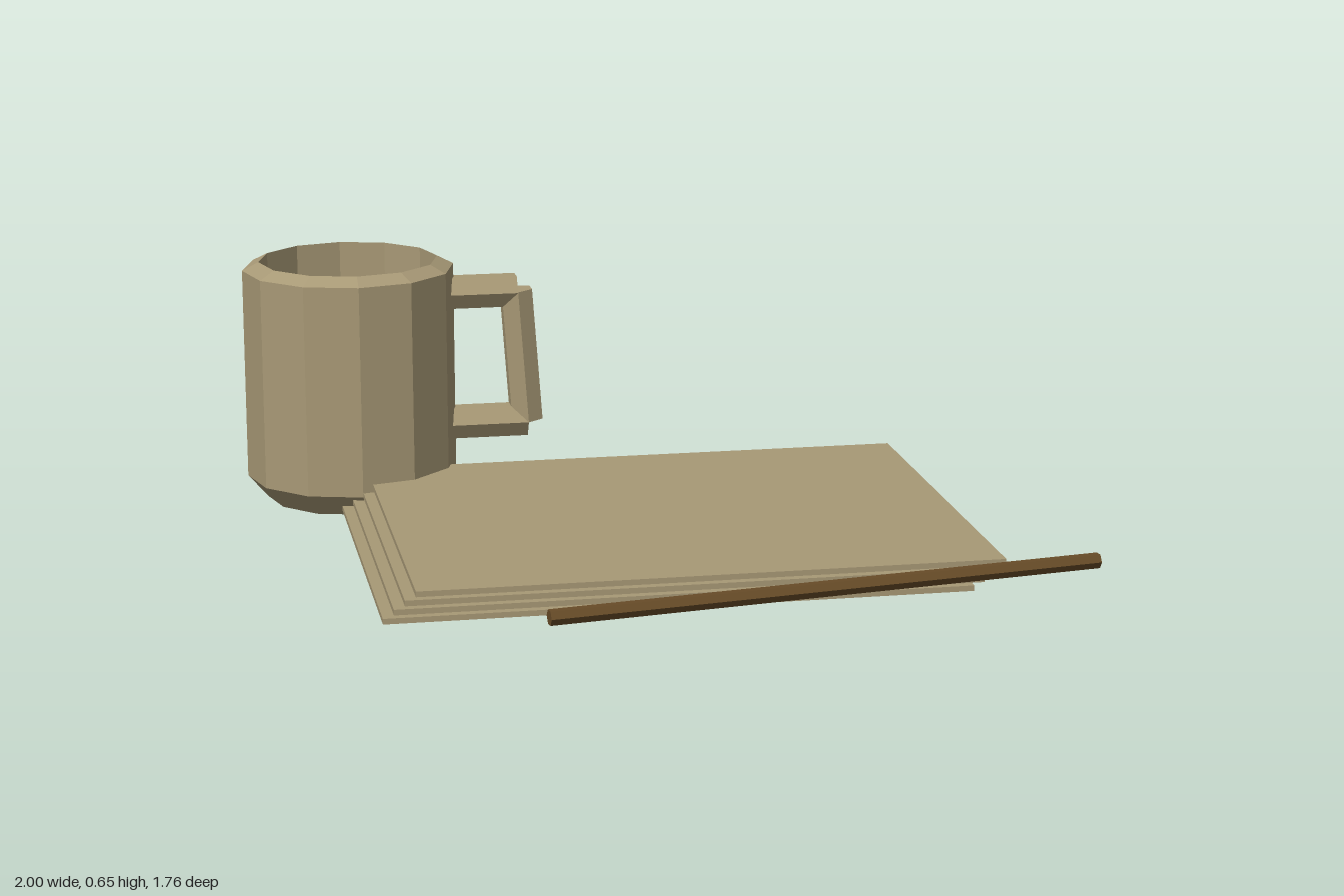
import * as THREE from 'three';

const tan = new THREE.MeshStandardMaterial({ color: 0xa89976 });
tan.name = 'tan';
const brown = new THREE.MeshStandardMaterial({ color: 0x684c28 });
brown.name = 'dark brown';

// Mesh with one normal per face
function faceted(name, geometry, material) {
  const g = geometry.index ? geometry.toNonIndexed() : geometry;
  g.computeVertexNormals();
  const mesh = new THREE.Mesh(g, material);
  mesh.name = name;
  return mesh;
}

// Six-sided rod between two points, with corners towards z
function rod(name, a, b, radius, material) {
  const start = new THREE.Vector3(...a);
  const end = new THREE.Vector3(...b);
  const dir = end.clone().sub(start);
  const length = dir.length();
  dir.normalize();
  const side = new THREE.Vector3(0, 0, 1).addScaledVector(dir, -dir.z).normalize();
  const across = new THREE.Vector3().crossVectors(dir, side);
  const mesh = faceted(name, new THREE.CylinderGeometry(radius, radius, length, 6), material);
  mesh.quaternion.setFromRotationMatrix(new THREE.Matrix4().makeBasis(across, dir, side));
  mesh.position.copy(start).add(end).multiplyScalar(0.5);
  return mesh;
}

export function createModel() {
  const model = new THREE.Group();
  model.name = 'deskItems';

  // Mug: hollow twelve-sided cup and three-bar handle
  const mug = new THREE.Group();
  mug.name = 'mug';
  const profile = [[0, 0], [0.23, 0], [0.284, 0.062], [0.284, 0.628], [0.24, 0.65], [0.24, 0.06], [0, 0.06]]
    .map(([r, y]) => new THREE.Vector2(r, y));
  const cup = faceted('cup', new THREE.LatheGeometry(profile, 12), tan);
  cup.position.set(-0.716, 0, -0.597);
  const z = -0.597;
  mug.add(
    cup,
    rod('handleTop', [-0.46, 0.548, z], [-0.262, 0.548, z], 0.048, tan),
    rod('handleGrip', [-0.262, 0.55, z], [-0.236, 0.186, z], 0.048, tan),
    rod('handleBottom', [-0.46, 0.186, z], [-0.236, 0.186, z], 0.048, tan),
  );
  model.add(mug);

  // Paper: four sheets, each shifted along x
  const papers = new THREE.Group();
  papers.name = 'papers';
  for (let i = 0; i < 4; i++) {
    const sheet = faceted('sheet' + (i + 1), new THREE.BoxGeometry(1.45, 0.014, 1.14), tan);
    sheet.position.set(-0.043 + i * 0.0265, 0.024 + i * 0.021, 0.08);
    papers.add(sheet);
  }
  model.add(papers);

  // Pencil
  model.add(rod('pencil', [-0.402, 0.077, 0.855], [0.997, 0.077, 0.648], 0.02, brown));
  return model;
}
